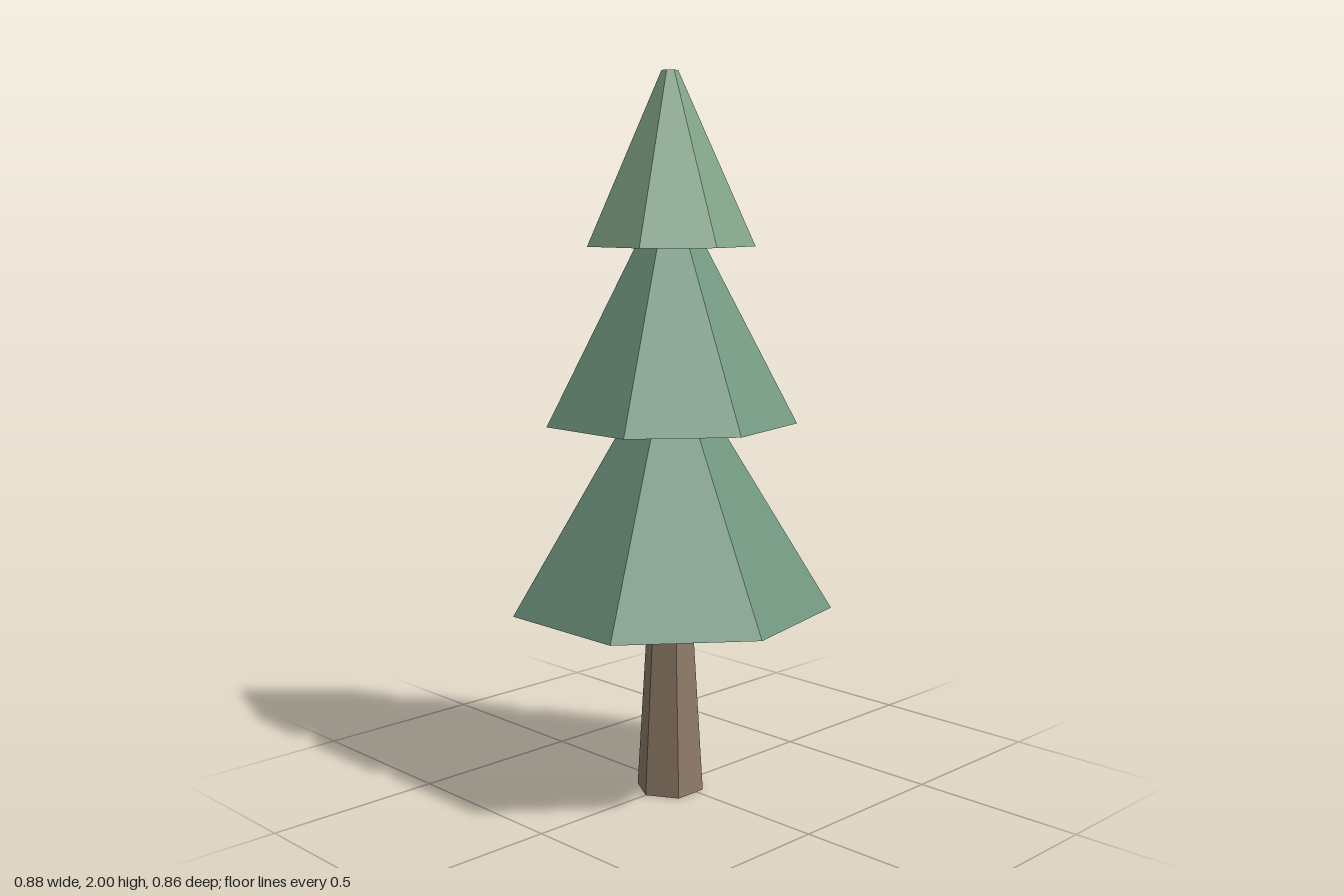
import * as THREE from 'three';

export function createModel() {
  const tree = new THREE.Group();
  tree.name = 'pineTree';

  // Upright tapered prism between two heights, with one corner pointing to -z
  const addPrism = (name, sides, y0, y1, r0, r1, color) => {
    const geometry = new THREE.CylinderGeometry(r1, r0, y1 - y0, sides);
    geometry.rotateY(Math.PI);
    const material = new THREE.MeshStandardMaterial({ color, flatShading: true });
    const mesh = new THREE.Mesh(geometry, material);
    mesh.name = name;
    mesh.position.set(0, (y0 + y1) / 2, 0.022);
    tree.add(mesh);
  };

  // Six-sided trunk, ending just inside the lowest tier
  addPrism('trunk', 6, 0, 0.56, 0.0965, 0.062, 0x8f7b68);

  // Seven-sided foliage tiers, each tucked into the one above
  addPrism('lowerFoliage', 7, 0.54, 1.1, 0.45, 0.106, 0x6f957e);
  addPrism('middleFoliage', 7, 1.055, 1.58, 0.35, 0.074, 0x739981);
  addPrism('upperFoliage', 7, 1.535, 2, 0.233, 0.023, 0x82a588);

  return tree;
}
